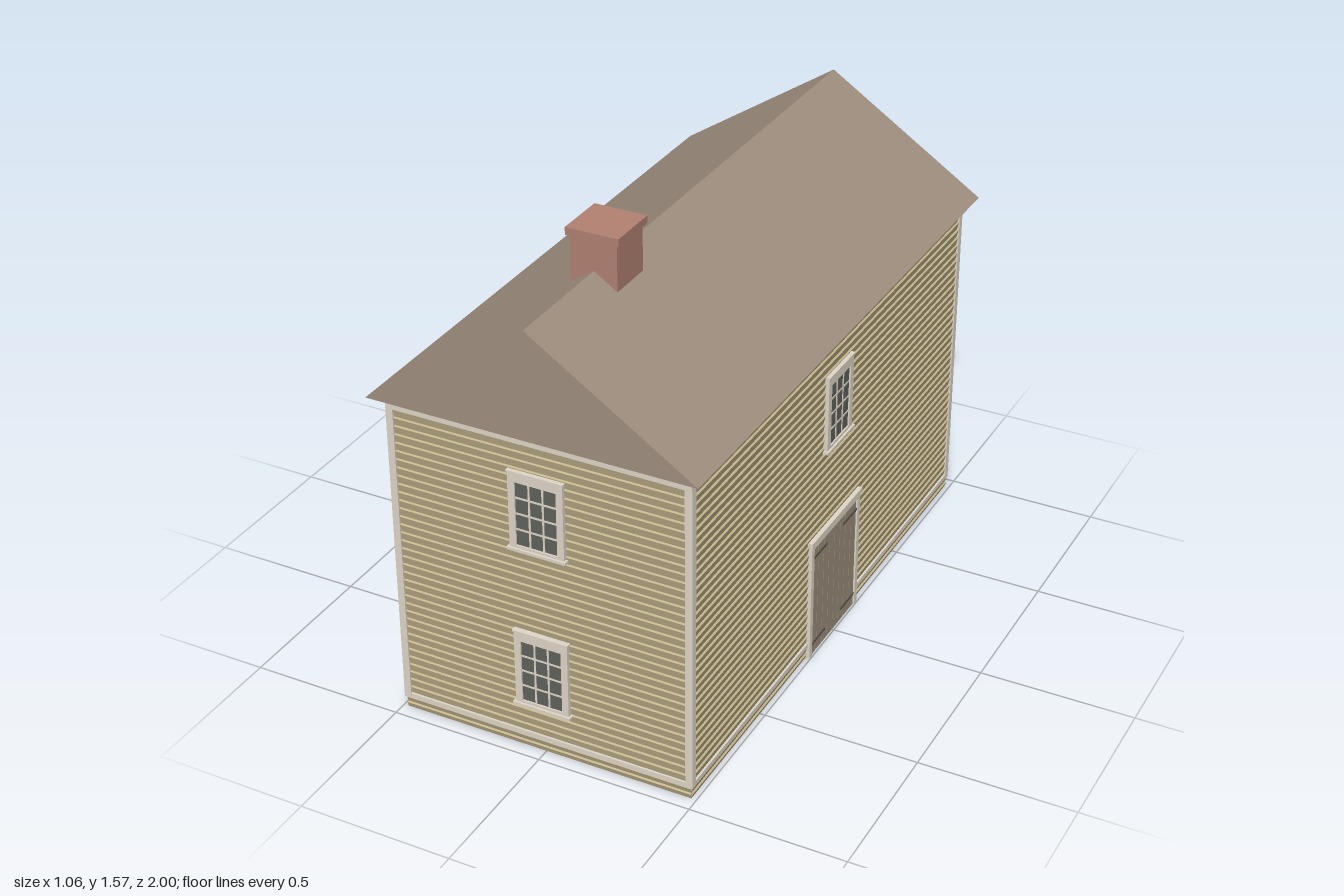
import * as THREE from 'three';

const mat = (name, color) => {
  const m = new THREE.MeshStandardMaterial({ color });
  m.name = name;
  return m;
};

export function createModel() {
  const siding = mat('tan siding', 0xc3b48c);
  siding.side = THREE.DoubleSide;
  const trim = mat('pale trim', 0xe0d7c8);
  const roofing = mat('brown roof', 0xa09080);
  const planks = mat('weathered planks', 0x9e8e7d);
  const brick = mat('brick', 0xb28272);
  const glass = mat('window glass', 0x60625e);
  const paint = mat('red door paint', 0xa26652);
  const iron = mat('dark iron', 0x5c564e);

  const house = new THREE.Group();
  house.name = 'house';
  const HX = 0.482, HZ = 0.952, EAVE = 1.097;

  // Box given by its limits on each axis
  const box = (parent, name, material, x0, x1, y0, y1, z0, z1) => {
    const m = new THREE.Mesh(new THREE.BoxGeometry(x1 - x0, y1 - y0, z1 - z0), material);
    m.position.set((x0 + x1) / 2, (y0 + y1) / 2, (z0 + z1) / 2);
    m.name = name;
    parent.add(m);
    return m;
  };

  // Stepped boards: a saw-tooth profile with narrow upward ledges, swept along the wall
  const clapboards = (parent, name, halfWidth, y0, y1, rows) => {
    const s = new THREE.Shape(), h = (y1 - y0) / rows;
    s.moveTo(0, y0);
    for (let i = 0; i < rows; i++) {
      s.lineTo(0.001, y0 + i * h);
      s.lineTo(0.007, y0 + (i + 1) * h - 0.0026);
    }
    s.lineTo(0.001, y1);
    s.lineTo(0, y1);
    const g = new THREE.ExtrudeGeometry(s, { depth: halfWidth * 2, bevelEnabled: false });
    g.rotateY(-Math.PI / 2).translate(halfWidth, 0, 0);
    const m = new THREE.Mesh(g, siding);
    m.name = name;
    parent.add(m);
  };

  // Glass plate with a grid of glazing bars
  const panes = (parent, x0, x1, y0, y1, cols, rows, z, barMaterial = trim) => {
    const bar = 0.006;
    box(parent, 'glass', glass, x0, x1, y0, y1, z - 0.004, z);
    for (let i = 1; i < cols; i++) {
      const x = x0 + (x1 - x0) * i / cols;
      box(parent, 'glazingBar', barMaterial, x - bar / 2, x + bar / 2, y0, y1, z - 0.002, z + 0.002);
    }
    for (let j = 1; j < rows; j++) {
      const y = y0 + (y1 - y0) * j / rows;
      box(parent, 'glazingBar', barMaterial, x0, x1, y - bar / 2, y + bar / 2, z - 0.002, z + 0.0016);
    }
  };

  // Bars around an opening, without a bottom bar when it reaches the ground
  const surround = (parent, name, material, outer, inner, z0, z1) => {
    const [a0, a1, b0, b1] = outer, [c0, c1, d0, d1] = inner;
    box(parent, name, material, a0, c0, b0, b1, z0, z1);
    box(parent, name, material, c1, a1, b0, b1, z0, z1);
    if (d0 > b0) box(parent, name, material, c0, c1, b0, d0, z0, z1);
    box(parent, name, material, c0, c1, d1, b1, z0, z1);
  };

  // Sash window; y is the bottom of the glass
  const sashWindow = (parent, x, y) => {
    const w = new THREE.Group();
    w.name = 'window';
    w.position.set(x, y, 0);
    surround(w, 'windowFrame', trim, [-0.089, 0.089, -0.012, 0.242], [-0.067, 0.067, 0, 0.21], 0, 0.017);
    panes(w, -0.067, 0.067, 0, 0.21, 3, 4, 0.012);
    box(w, 'windowSill', trim, -0.096, 0.096, -0.018, -0.009, 0, 0.024);
    box(w, 'windowCap', trim, -0.092, 0.092, 0.24, 0.246, 0, 0.02);
    parent.add(w);
  };

  // Wall facing +z in its own frame, with boards, plinth and trim; the house is hollow and open below
  const wall = (name, half, angle, dist) => {
    const g = new THREE.Group();
    g.name = name;
    g.rotation.y = angle;
    g.position.set(Math.sin(angle) * dist, 0, Math.cos(angle) * dist);
    const sheet = new THREE.Mesh(new THREE.PlaneGeometry(half * 2, EAVE), siding);
    sheet.name = 'wallSheet';
    sheet.position.set(0, EAVE / 2, -0.001);
    g.add(sheet);
    clapboards(g, 'plinthBoards', half + 0.002, 0, 0.04, 2);
    clapboards(g, 'clapboards', half, 0.055, 1.055, 36);
    box(g, 'baseTrim', trim, -half, half, 0.04, 0.057, 0, 0.0085);
    box(g, 'frieze', trim, -half, half, 1.053, EAVE, 0, 0.0085);
    for (const s of [-1, 1]) {
      const c = box(g, 'cornerBoard', trim, -0.0115, 0.0115, 0.04, EAVE, 0, 0.0088);
      c.position.x = s * (half - 0.003);
    }
    house.add(g);
    return g;
  };

  const front = wall('frontWall', HX, 0, HZ);
  const side = wall('leftWall', HZ, Math.PI / 2, HX);
  const back = wall('backWall', HX, Math.PI, HZ);
  const other = wall('rightWall', HZ, -Math.PI / 2, HX);

  // Windows
  for (const w of [front, other]) for (const y of [0.72, 0.175]) sashWindow(w, 0, y);
  sashWindow(side, 0, 0.72);
  for (const x of [-0.222, 0.272]) sashWindow(back, x, 0.715);

  // Double plank door
  const barn = new THREE.Group();
  barn.name = 'plankDoors';
  surround(barn, 'doorFrame', trim, [-0.179, 0.179, 0, 0.422], [-0.16, 0.16, 0, 0.4], 0, 0.016);
  box(barn, 'doorCap', trim, -0.184, 0.184, 0.42, 0.432, 0, 0.02);
  box(barn, 'plankGaps', iron, -0.16, 0.16, 0, 0.4, 0, 0.0075);
  for (let i = 0; i < 8; i++) {
    const x = -0.16 + i * 0.04;
    box(barn, 'plank', planks, x + 0.001, x + 0.039, 0, 0.4, 0, 0.011);
  }
  for (const s of [-1, 1]) for (const y of [0.042, 0.363]) {
    const strap = box(barn, 'hingeStrap', iron, -0.05, 0.05, y - 0.004, y + 0.004, 0.01, 0.014);
    strap.position.x = s * 0.11;
  }
  side.add(barn);

  // Shop front with glazed door, transom and display window
  const shop = new THREE.Group();
  shop.name = 'shopFront';
  box(shop, 'shopPanel', trim, -0.285, 0.28, 0, 0.53, 0, 0.0095);
  box(shop, 'shopCap', trim, -0.288, 0.283, 0.528, 0.54, 0, 0.013);
  panes(shop, -0.25, -0.07, 0.345, 0.4, 5, 1, 0.0105);
  box(shop, 'door', paint, -0.25, -0.07, 0.022, 0.33, 0.004, 0.0105);
  panes(shop, -0.23, -0.09, 0.19, 0.305, 4, 2, 0.0115, paint);
  box(shop, 'lowerDoorPanel', paint, -0.22, -0.1, 0.055, 0.16, 0.008, 0.0125);
  box(shop, 'doorStep', iron, -0.255, -0.065, 0, 0.02, 0, 0.012);
  surround(shop, 'displayFrame', trim, [-0.055, 0.247, 0.115, 0.495], [-0.045, 0.237, 0.128, 0.485], 0, 0.0125);
  panes(shop, -0.045, 0.237, 0.128, 0.485, 7, 6, 0.0105);
  back.add(shop);

  // Gabled roof
  const gable = new THREE.Shape();
  gable.moveTo(-0.529, EAVE);
  gable.lineTo(0.529, EAVE);
  gable.lineTo(0, 1.445);
  gable.closePath();
  const roof = new THREE.Mesh(
    new THREE.ExtrudeGeometry(gable, { depth: 2, bevelEnabled: false }).translate(0, 0, -1), roofing);
  roof.name = 'roof';
  house.add(roof);

  // Chimney
  box(house, 'chimney', brick, -0.075, 0.075, 1.36, 1.545, 0.46, 0.61);
  box(house, 'chimneyCap', brick, -0.085, 0.085, 1.543, 1.567, 0.449, 0.619);

  return house;
}
